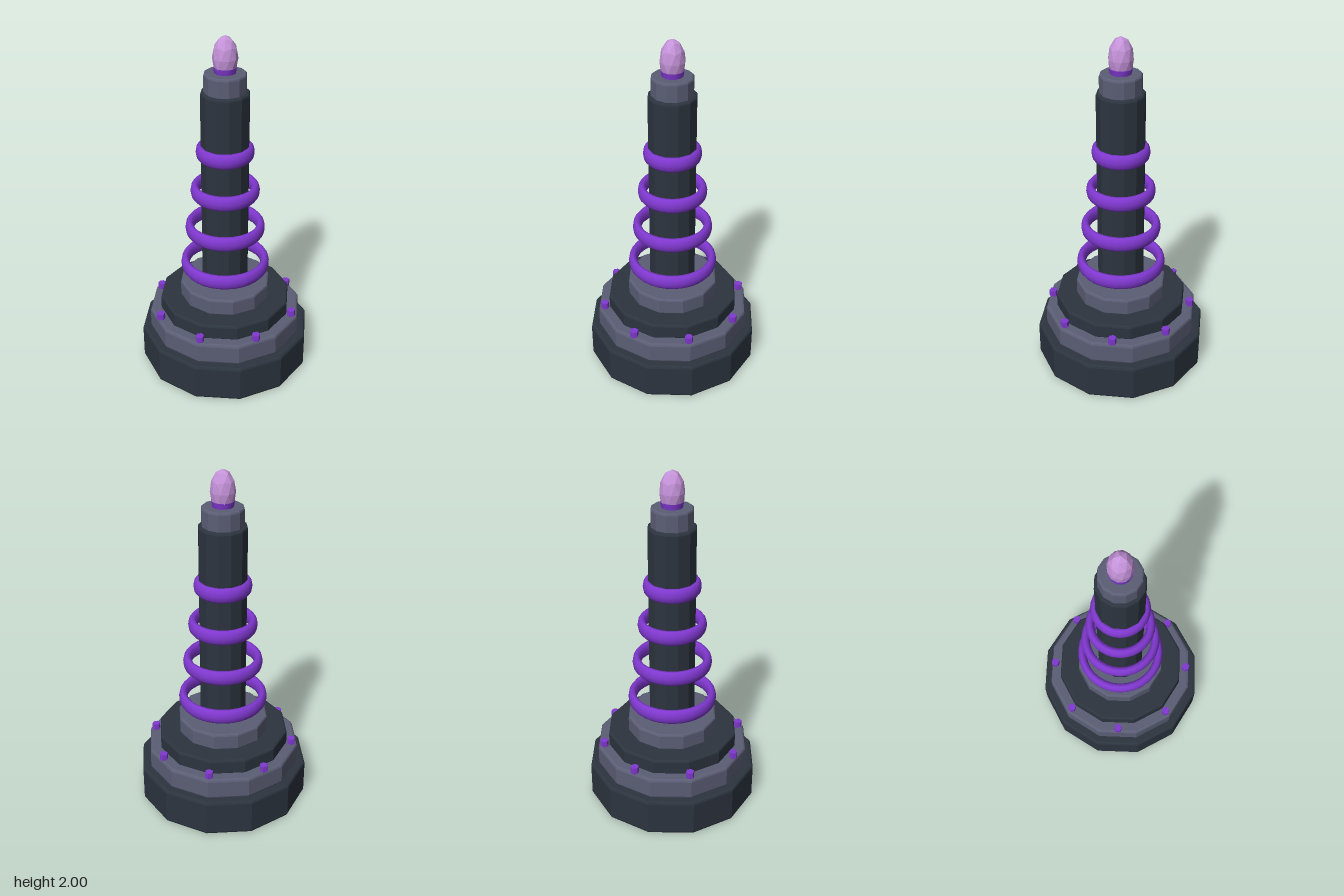
import * as THREE from 'three';

const material = (name, color, flatShading = true) => {
  const m = new THREE.MeshStandardMaterial({ color, flatShading });
  m.name = name;
  return m;
};

export function createModel() {
  const model = new THREE.Group();
  model.name = 'coilTower';
  const dark = material('darkSlate', 0x2c343f);
  const grey = material('greyMetal', 0x5b5e75);
  const purple = material('purple', 0x8038d0, false);
  const pink = material('paleViolet', 0xc593da);

  const add = (name, geometry, mat, x = 0, y = 0, z = 0) => {
    const mesh = new THREE.Mesh(geometry, mat);
    mesh.name = name;
    mesh.position.set(x, y, z);
    model.add(mesh);
    return mesh;
  };

  // Twelve-sided drum with bevelled rims
  const drum = (name, radius, y0, y1, bevel, mat) => {
    const profile = [
      [0, y0], [radius - bevel, y0],
      [radius - bevel * 0.3, y0 + bevel * 0.3], [radius, y0 + bevel],
      [radius, y1 - bevel], [radius - bevel * 0.3, y1 - bevel * 0.3],
      [radius - bevel, y1], [0, y1],
    ].map(([x, y]) => new THREE.Vector2(x, y));
    add(name, new THREE.LatheGeometry(profile, 12), mat);
  };

  // Stepped base, column and cap
  drum('base', 0.5, 0, 0.222, 0.015, dark);
  drum('lowerStep', 0.45, 0.215, 0.345, 0.015, grey);
  drum('middleStep', 0.384, 0.335, 0.43, 0.012, dark);
  drum('upperStep', 0.264, 0.42, 0.525, 0.012, grey);
  drum('column', 0.135, 0.515, 1.695, 0.012, dark);
  drum('cap', 0.117, 1.685, 1.8, 0.012, grey);

  // Tapering stack of tall oval-section rings
  [[0.232, 0.635], [0.203, 0.87], [0.17, 1.107], [0.137, 1.345]].forEach(([radius, y], i) => {
    const ring = new THREE.TorusGeometry(radius, 0.025, 10, 32);
    ring.scale(1, 1, 1.76).rotateX(Math.PI / 2);
    add(`ring${i + 1}`, ring, purple, 0, y, 0);
  });

  // Hexagonal bolts around the lower step
  const bolt = new THREE.CylinderGeometry(0.024, 0.024, 0.04, 6).toNonIndexed();
  bolt.computeVertexNormals();
  for (let i = 0; i < 8; i++) {
    const a = (i * Math.PI) / 4;
    add(`bolt${i + 1}`, bolt, purple, Math.sin(a) * 0.413, 0.362, Math.cos(a) * 0.413);
  }

  // Collar and faceted crystal tip
  add('tipCollar', new THREE.CylinderGeometry(0.064, 0.058, 0.035, 12), purple, 0, 1.814, 0);
  const tip = new THREE.IcosahedronGeometry(1, 1);
  tip.rotateZ(-Math.atan(2 / (1 + Math.sqrt(5)))).scale(0.069, 0.12, 0.069);
  add('crystalTip', tip, pink, 0, 1.88, 0);

  return model;
}
